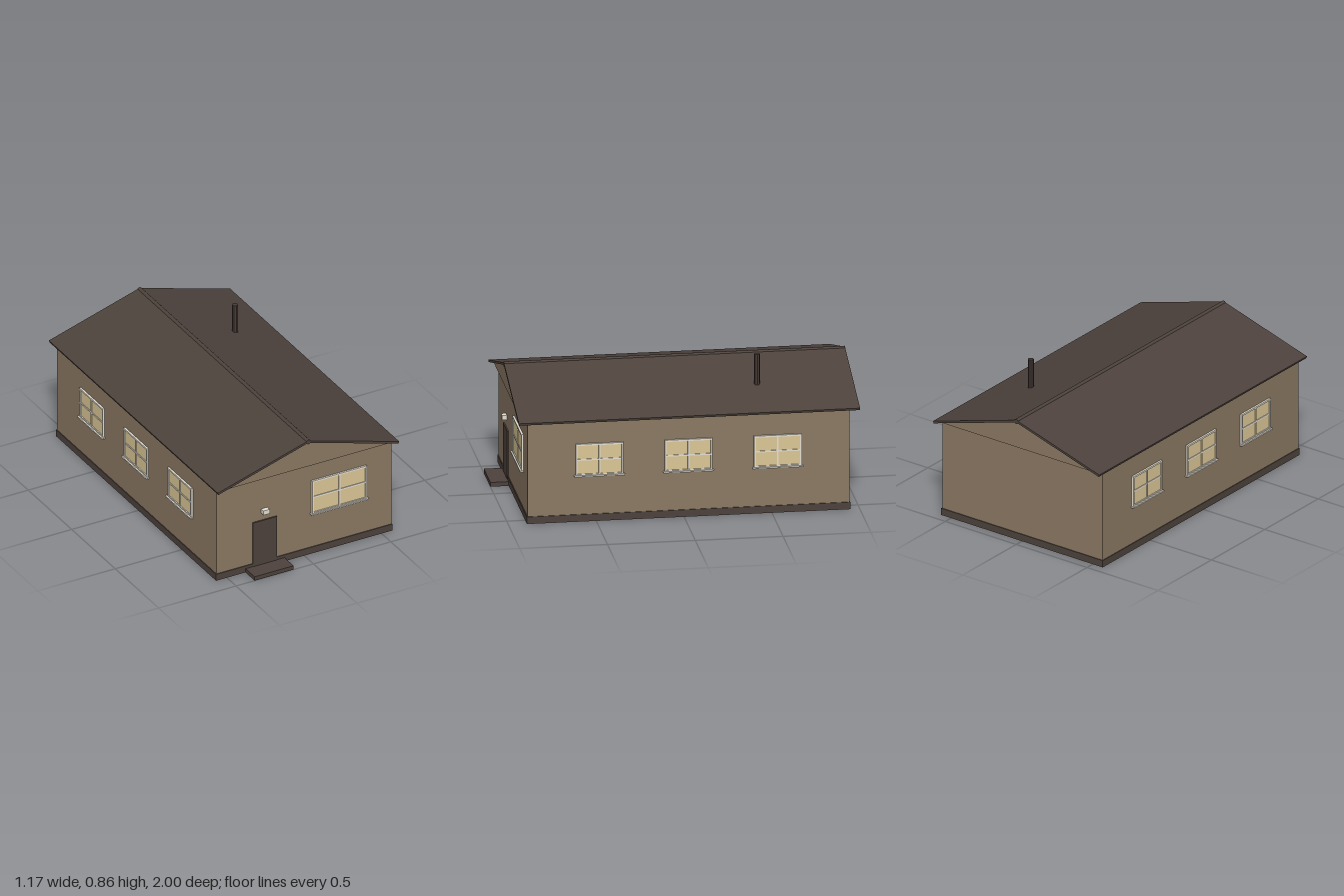
import * as THREE from 'three';

const mat = (name, color) => {
  const m = new THREE.MeshStandardMaterial({ color });
  m.name = name;
  return m;
};

export function createModel() {
  const house = new THREE.Group();
  house.name = 'house';
  const wall = mat('wallTan', 0x8b7963);
  const dark = mat('roofBrown', 0x4d423c);
  const pipe = mat('chimneyBrown', 0x443935);
  const floor = mat('floorBrown', 0x79675d);
  const glass = mat('windowGlow', 0xdcc796);
  const trim = mat('trimGrey', 0xe4dfd2);

  const add = (name, geometry, material, parent = house) => {
    const mesh = new THREE.Mesh(geometry, material);
    mesh.name = name;
    parent.add(mesh);
    return mesh;
  };
  // Box given by its limits on each axis
  const box = (name, [x0, x1], [y0, y1], [z0, z1], material, parent) => {
    const mesh = add(name, new THREE.BoxGeometry(x1 - x0, y1 - y0, z1 - z0), material, parent);
    mesh.position.set((x0 + x1) / 2, (y0 + y1) / 2, (z0 + z1) / 2);
    return mesh;
  };
  // Outline in x and y drawn out from z0 to z1
  const outline = (points) => points.map(([x, y]) => new THREE.Vector2(x, y));
  const prism = (name, points, z0, z1, material, parent, hole) => {
    const shape = new THREE.Shape(outline(points));
    if (hole) shape.holes.push(new THREE.Path(outline(hole)));
    const geometry = new THREE.ExtrudeGeometry(shape, { depth: z1 - z0, bevelEnabled: false });
    add(name, geometry.translate(0, 0, z0), material, parent);
  };

  // Body
  box('floor', [-0.57, 0.57], [0, 0.002], [-0.946, 0.895], floor);
  box('foundation', [-0.57, 0.57], [0.002, 0.042], [-0.946, 0.895], dark);
  box('walls', [-0.565, 0.565], [0.042, 0.592], [-0.941, 0.89], wall);
  prism('gables', [[-0.565, 0.592], [0.565, 0.592], [0, 0.763]], -0.972, 0.917, wall);

  // Roof slopes, rounded ridge cap and chimney
  prism('roofLeft', [[0, 0.762], [0.582, 0.589], [0.586, 0.602], [0, 0.776]], -1, 0.943, dark);
  prism('roofRight', [[0, 0.776], [-0.586, 0.602], [-0.582, 0.589], [0, 0.762]], -1, 0.943, dark);
  const cap = add('ridgeCap', new THREE.CylinderGeometry(0.014, 0.014, 1.943, 12), dark);
  cap.rotation.x = Math.PI / 2;
  cap.position.set(0, 0.767, -0.0285);
  const tube = new THREE.CylinderGeometry(0.017, 0.017, 0.19, 8).toNonIndexed();
  tube.computeVertexNormals();
  add('chimney', tube, pipe).position.set(0.309, 0.765, -0.453);

  // Entrance
  box('door', [-0.332, -0.178], [0.025, 0.31], [0.885, 0.898], dark);
  box('doorstep', [-0.38, -0.128], [0, 0.025], [0.896, 1], dark);
  box('porchLamp', [-0.276, -0.236], [0.355, 0.383], [0.885, 0.918], trim);

  // Window built facing +z with its back on z = 0
  const rect = (x, y) => [[-x, -y], [x, -y], [x, y], [-x, y]];
  const windowUnit = (name, w, h, frame, bar) => {
    const g = new THREE.Group();
    g.name = name;
    const x = w / 2, y = h / 2, ix = x - frame, iy = y - frame;
    box('glass', [-ix, ix], [-iy, iy], [0, 0.006], glass, g);
    prism('frame', rect(x, y), -0.002, 0.012, trim, g, rect(ix, iy));
    box('mullion', [-bar / 2, bar / 2], [-iy, iy], [0, 0.011], trim, g);
    box('crossbar', [-ix, ix], [-bar / 2, bar / 2], [0, 0.01], trim, g);
    box('sill', [-x - 0.008, x + 0.008], [-y - 0.005, -y + 0.003], [-0.002, 0.021], trim, g);
    house.add(g);
    return g;
  };
  windowUnit('frontWindow', 0.355, 0.215, 0.01, 0.01).position.set(0.225, 0.368, 0.89);
  for (const side of [-1, 1]) {
    for (const z of [0.482, -0.025, -0.533]) {
      const g = windowUnit('sideWindow', 0.272, 0.188, 0.01, 0.009);
      g.position.set(side * 0.565, 0.367, z);
      g.rotation.y = side * Math.PI / 2;
    }
  }
  return house;
}
